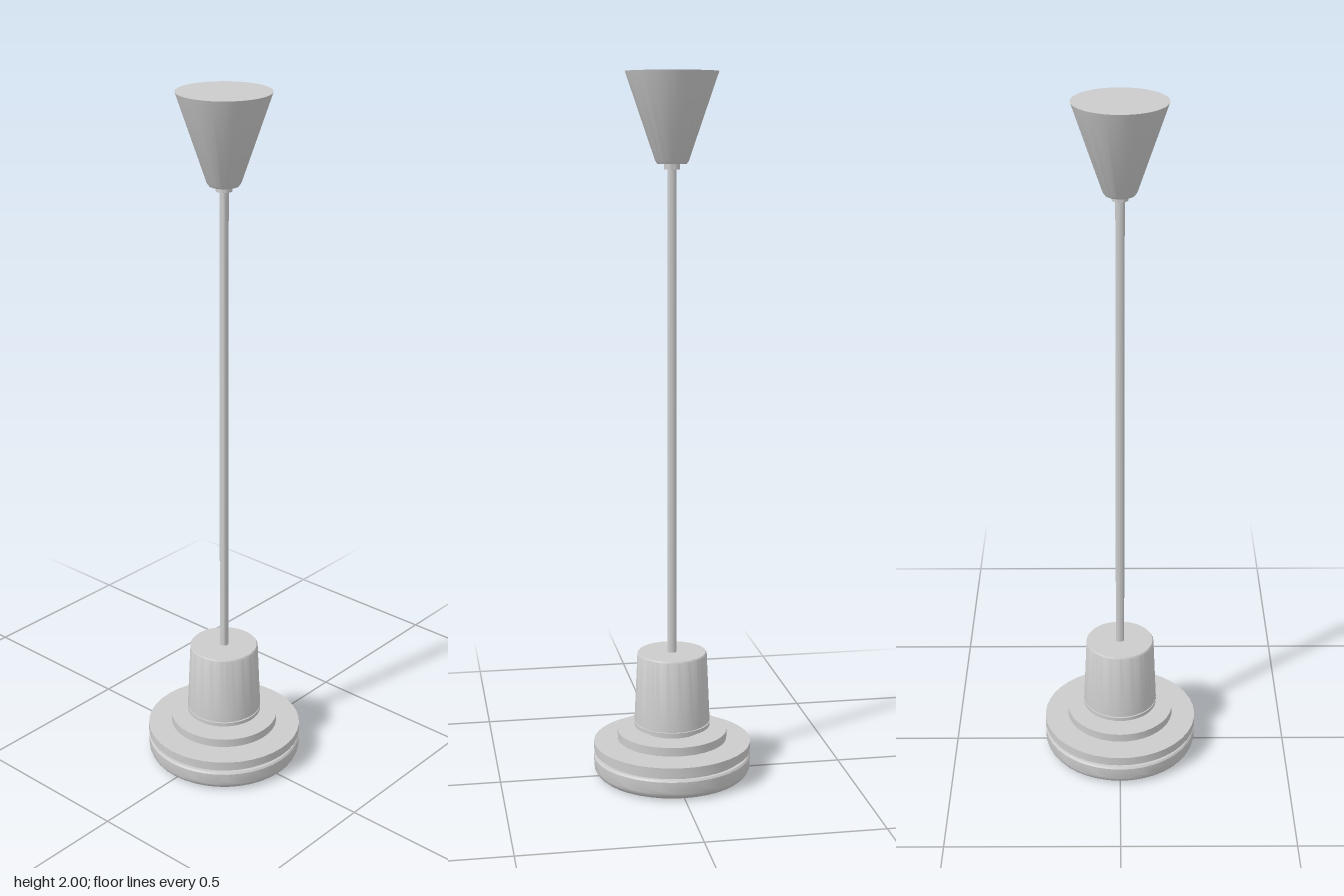
import * as THREE from 'three';
import { toCreasedNormals } from 'three/addons/utils/BufferGeometryUtils.js';

const SEGMENTS = 40;

export function createModel() {
  const lamp = new THREE.Group();
  lamp.name = 'pendantLamp';
  const material = new THREE.MeshStandardMaterial({ color: 0xcccccc });

  // Turned part from [radius, height] pairs, listed from bottom to top
  function turned(name, profile) {
    const points = profile.map(([r, y]) => new THREE.Vector2(r, y));
    const geometry = toCreasedNormals(new THREE.LatheGeometry(points, SEGMENTS), 0.6);
    const mesh = new THREE.Mesh(geometry, material);
    mesh.name = name;
    lamp.add(mesh);
  }

  // Straight or tapered solid, closed at both ends
  const solid = (name, rBottom, rTop, y0, y1) =>
    turned(name, [[0, y0], [rBottom, y0], [rTop, y1], [0, y1]]);

  // Ceiling canopy, cord grip and rod
  turned('ceilingCanopy', [[0, 1.752], [0.04, 1.752], [0.046, 1.76], [0.128, 2], [0, 2]]);
  solid('cordGrip', 0.022, 0.022, 1.737, 1.755);
  solid('rod', 0.0125, 0.0125, 0.36, 1.74);

  // Tapered housing with a thin ring under it
  turned('housing', [[0, 0.16], [0.109, 0.16], [0.1, 0.36], [0.097, 0.364], [0, 0.364]]);
  solid('housingGap', 0.104, 0.104, 0.155, 0.161);
  solid('housingRing', 0.109, 0.109, 0.145, 0.156);

  // Stepped plates joined by narrower necks
  solid('upperNeck', 0.084, 0.084, 0.13, 0.147);
  solid('upperPlate', 0.158, 0.158, 0.106, 0.131);
  solid('lowerNeck', 0.084, 0.084, 0.096, 0.108);
  solid('lowerPlate', 0.227, 0.227, 0.072, 0.098);
  solid('grooveNeck', 0.213, 0.213, 0.058, 0.074);

  // Diffuser with a rounded lower edge
  const diffuser = [[0, 0]];
  for (let i = 0; i <= 6; i++) {
    const a = (i / 6) * Math.PI / 2;
    diffuser.push([0.199 + 0.028 * Math.sin(a), 0.03 - 0.03 * Math.cos(a)]);
  }
  diffuser.push([0.227, 0.056], [0.223, 0.061], [0, 0.061]);
  turned('diffuser', diffuser);

  return lamp;
}
